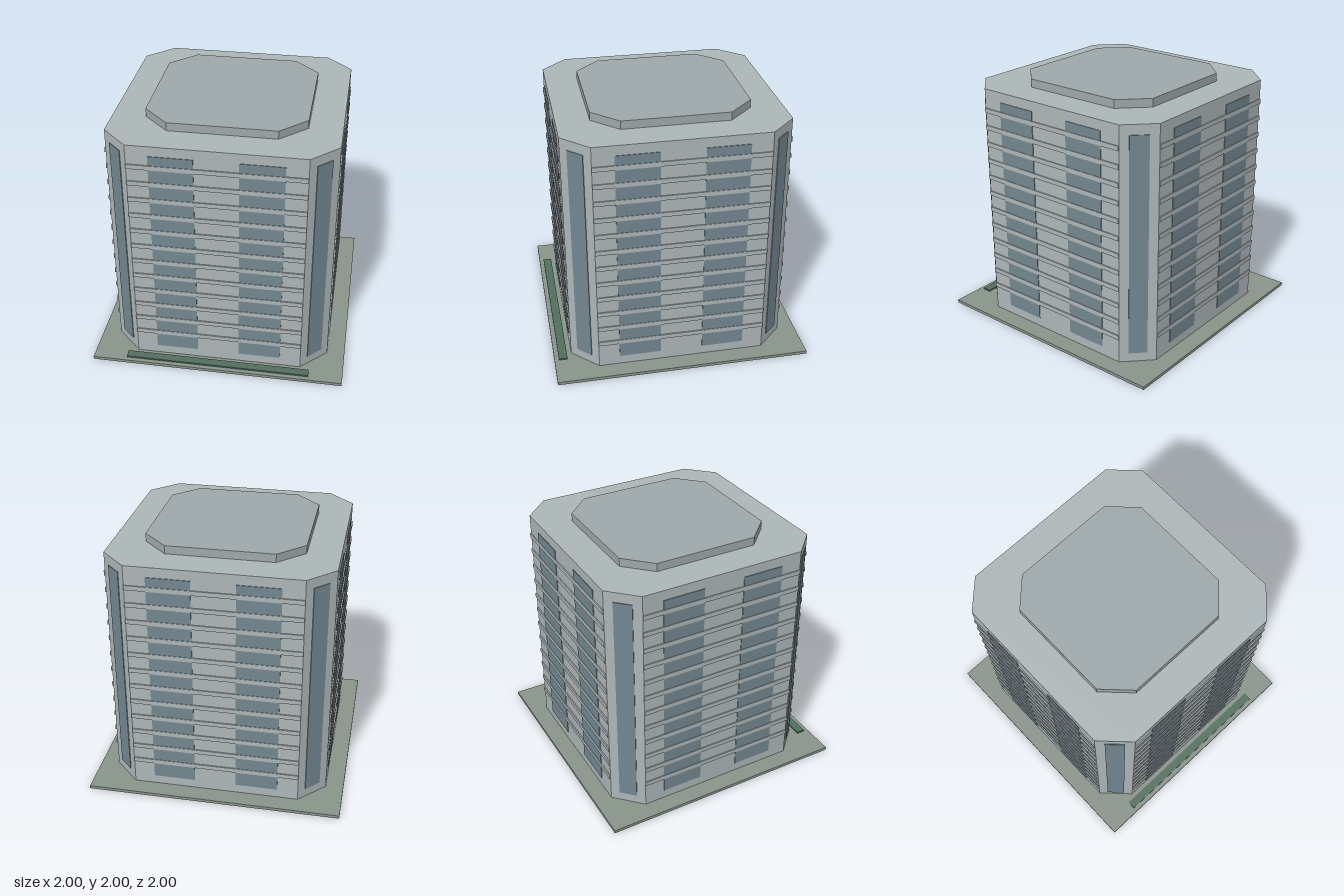
import * as THREE from 'three';

const material = (color) => new THREE.MeshStandardMaterial({ color, flatShading: true });
const wallMat = material(0xacb5b7);
const bandMat = material(0xacb5b7);
const capMat = material(0x9da7aa);
const glassMat = material(0x73868f);
const groundMat = material(0x88938a);
const hedgeMat = material(0x516e5e);

const HALF = 0.86, FLAT = 0.658; // wall distance and half width of a flat face

function box(name, mat, w, h, d, x, y, z) {
  const mesh = new THREE.Mesh(new THREE.BoxGeometry(w, h, d), mat);
  mesh.name = name;
  mesh.position.set(x, y, z);
  return mesh;
}

// Square block with cut corners, standing between y0 and y1
function chamferedBlock(name, mat, half, flat, y0, y1) {
  const outline = [[flat, half], [-flat, half], [-half, flat], [-half, -flat],
    [-flat, -half], [flat, -half], [half, -flat], [half, flat]];
  const shape = new THREE.Shape(outline.map(([x, z]) => new THREE.Vector2(x, z)));
  const geometry = new THREE.ExtrudeGeometry(shape, { depth: y1 - y0, bevelEnabled: false });
  geometry.rotateX(-Math.PI / 2);
  const mesh = new THREE.Mesh(geometry, mat);
  mesh.name = name;
  mesh.position.y = y0;
  return mesh;
}

// One facade facing +z plus the corner window to its left
function createFacade() {
  const facade = new THREE.Group();
  facade.name = 'facade';

  const floors = 13, step = 0.1385, firstBand = 0.24, bandHeight = 0.036;
  const bottom = 0.1, top = 1.857;
  for (let i = 0; i < floors; i++) {
    const bandY = firstBand + i * step;
    const y0 = i === 0 ? bottom : bandY - step + bandHeight / 2;
    const y1 = i === floors - 1 ? top : bandY - bandHeight / 2;
    for (const side of [-1, 1]) {
      facade.add(box('window', glassMat, 0.33, y1 - y0, 0.024,
        side * 0.33, (y0 + y1) / 2, HALF - 0.007));
    }
    if (i < floors - 1) {
      facade.add(box('floorBand', bandMat, 2 * FLAT, bandHeight, 0.03, 0, bandY, HALF - 0.006));
    }
  }

  // Tall glass strip on the cut corner
  const mid = (HALF + FLAT) / 2;
  const strip = box('cornerWindow', glassMat, 0.143, top - bottom, 0.02,
    mid - 0.003, (top + bottom) / 2, mid - 0.003);
  strip.rotation.y = Math.PI / 4;
  facade.add(strip);
  return facade;
}

export function createModel() {
  const model = new THREE.Group();
  model.name = 'towerBlock';

  // Plot and hedge
  model.add(box('groundPlate', groundMat, 2, 0.025, 2, 0, 0.0125, 0));
  model.add(box('hedge', hedgeMat, 1.465, 0.02, 0.068, 0, 0.027, 0.93));

  // Tower and roof cap
  model.add(chamferedBlock('tower', wallMat, HALF, FLAT, 0.02, 1.935));
  model.add(chamferedBlock('roofCap', capMat, 0.607, 0.41, 1.93, 2));

  // Same facade on all four sides
  for (let i = 0; i < 4; i++) {
    const facade = createFacade();
    facade.rotation.y = i * Math.PI / 2;
    model.add(facade);
  }
  return model;
}
